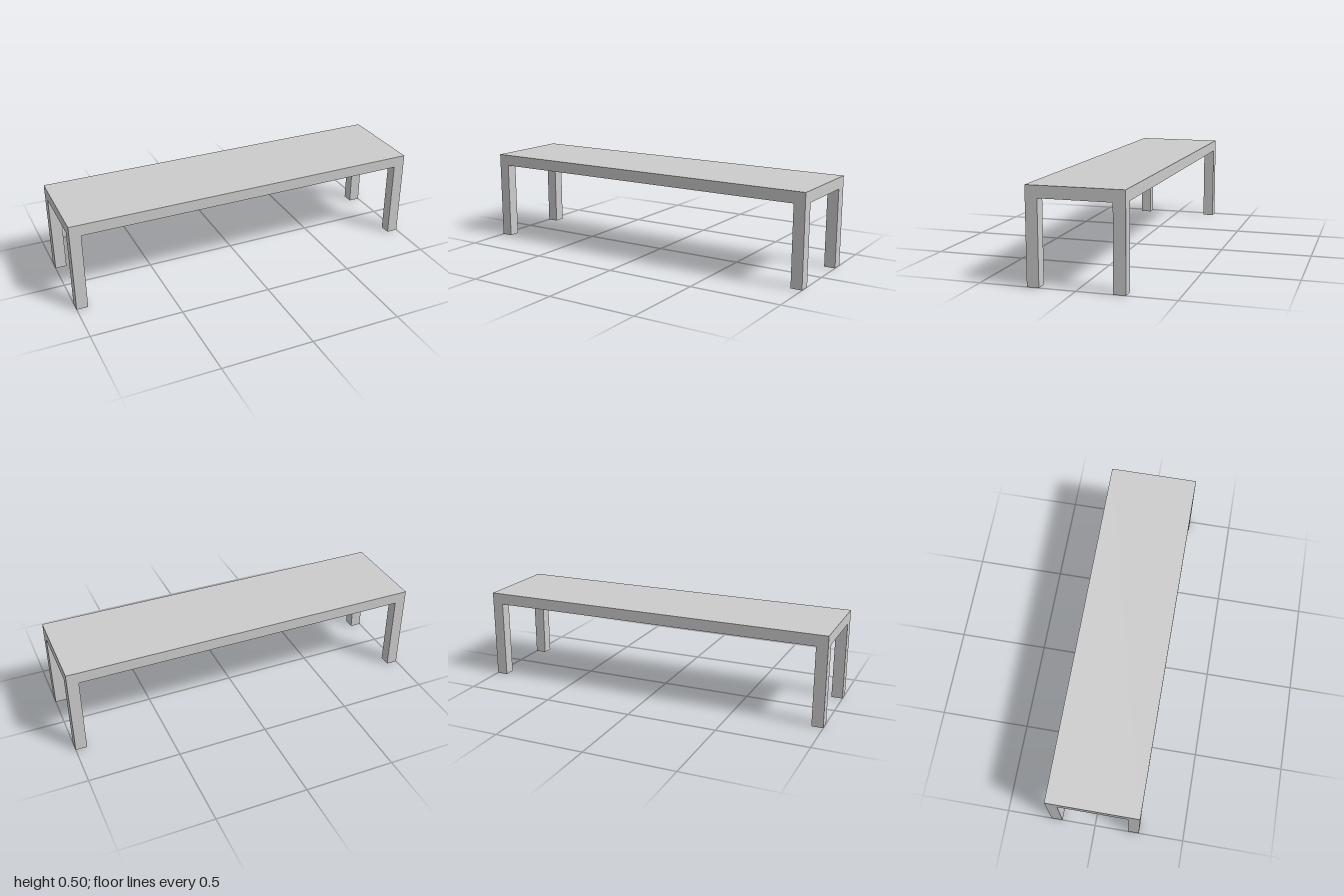
import * as THREE from 'three';

const LENGTH = 2, HEIGHT = 0.5, DEPTH = 0.5;
const THICK = 0.0625; // shared by the top slab and the square legs

export function createModel() {
  const bench = new THREE.Group();
  bench.name = 'bench';
  const material = new THREE.MeshStandardMaterial({ color: 0xcccccc, flatShading: true });

  // Box standing on height y
  function addBox(name, w, h, d, x, y, z) {
    const mesh = new THREE.Mesh(new THREE.BoxGeometry(w, h, d), material);
    mesh.name = name;
    mesh.position.set(x, y + h / 2, z);
    bench.add(mesh);
  }

  // Top slab
  const legHeight = HEIGHT - THICK;
  addBox('top', LENGTH, THICK, DEPTH, 0, legHeight, 0);

  // Four square legs, flush with the corners
  for (const [side, sx] of [['Left', 1], ['Right', -1]]) {
    for (const [end, sz] of [['front', 1], ['back', -1]]) {
      addBox(`${end}${side}Leg`, THICK, legHeight, THICK,
        sx * (LENGTH - THICK) / 2, 0, sz * (DEPTH - THICK) / 2);
    }
  }
  return bench;
}
